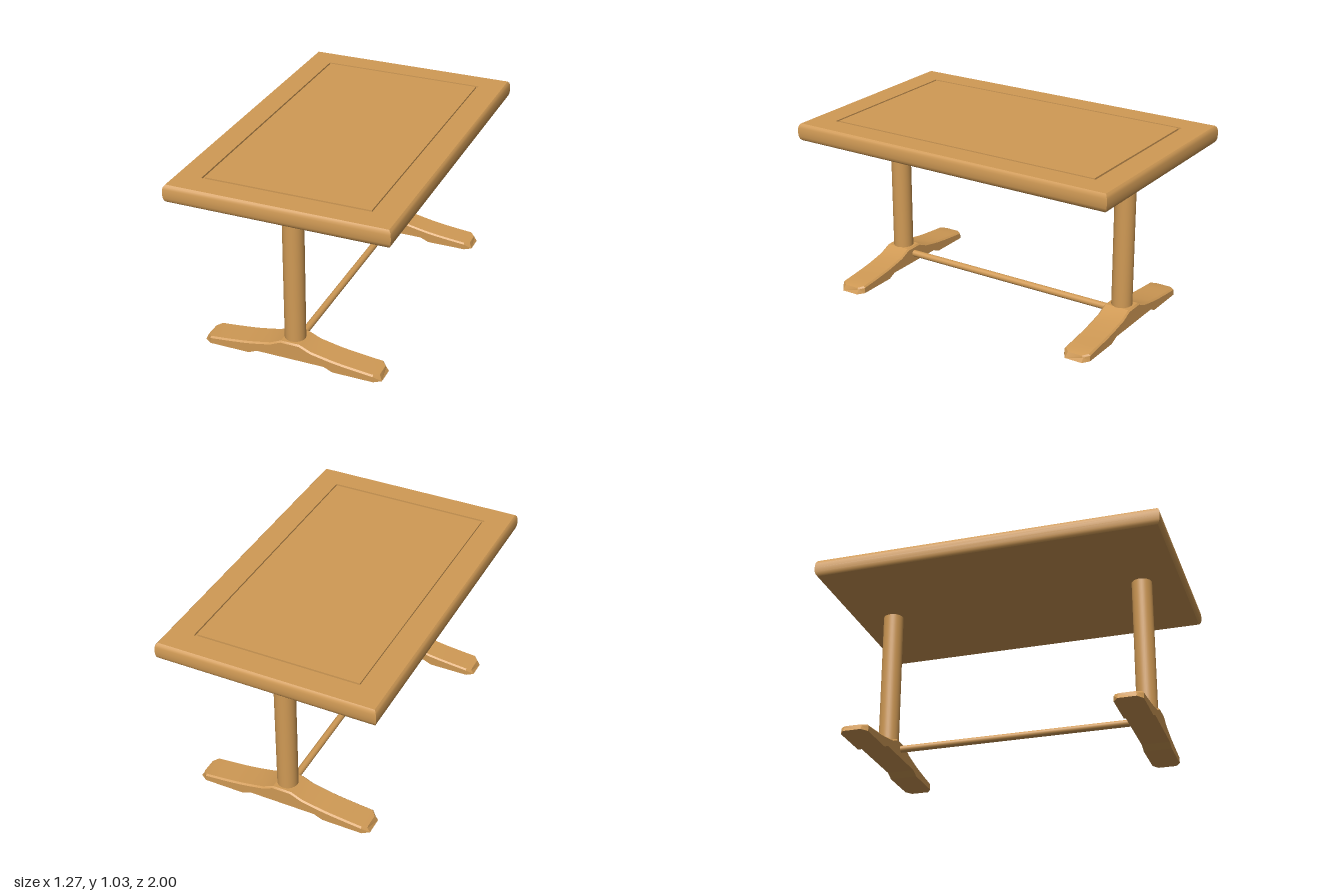
import * as THREE from 'three';
import { toCreasedNormals } from 'three/addons/utils/BufferGeometryUtils.js';

// Skins a row of equal-length convex loops and caps both ends
function loft(loops, crease) {
  const n = loops[0].length;
  const index = [];
  for (let i = 0; i < loops.length - 1; i++) {
    for (let j = 0; j < n; j++) {
      const a = i * n + j, b = i * n + (j + 1) % n;
      index.push(a, b, b + n, a, b + n, a + n);
    }
  }
  const last = (loops.length - 1) * n;
  for (let j = 1; j < n - 1; j++) {
    index.push(0, j + 1, j);
    index.push(last, last + j, last + j + 1);
  }
  const geo = new THREE.BufferGeometry();
  geo.setAttribute('position', new THREE.Float32BufferAttribute(loops.flat(2), 3));
  geo.setIndex(index);
  return toCreasedNormals(geo, crease);
}

// Rectangular loop of the tabletop, drawn in from its outer edge
function topLoop([inset, y]) {
  const x = 0.635 - inset, z = 1 - inset;
  return [[x, y, z], [x, y, -z], [-x, y, -z], [-x, y, z]];
}

// Foot cross-section with bevelled upper edges
function footLoop([xBottom, xTop, bottom, top, w]) {
  const c = 0.009;
  return [
    [xBottom, bottom, w], [xBottom, bottom, -w], [xTop, top - c, -w],
    [xTop, top, -w + c], [xTop, top, w - c], [xTop, top - c, w],
  ];
}

export function createModel() {
  const group = new THREE.Group();
  const wood = new THREE.MeshStandardMaterial({ color: 0xd09a55 });
  wood.name = 'warm wood';

  function add(name, geo, x = 0, y = 0, z = 0) {
    const mesh = new THREE.Mesh(geo, wood);
    mesh.name = name;
    mesh.position.set(x, y, z);
    group.add(mesh);
    return mesh;
  }

  // Tabletop: rounded rim, flat border, inlaid groove, centre panel
  const topProfile = [
    [0.015, 0.935], [0.006, 0.945], [0.002, 0.96], [0, 0.985],
    [0.002, 1.01], [0.006, 1.025], [0.015, 1.035],
    [0.152, 1.035], [0.152, 1.025], [0.166, 1.025], [0.166, 1.035],
  ];
  add('tabletop', loft(topProfile.map(topLoop), 0.7));

  // Foot stations from tip to centre: x at bottom, x at top, bottom, top, half width
  const half = [
    [0.528, 0.512, 0, 0.034, 0.052],
    [0.488, 0.485, 0, 0.042, 0.08],
    [0.4, 0.4, 0, 0.05, 0.08],
    [0.3, 0.3, 0, 0.061, 0.08],
    [0.25, 0.25, 0, 0.068, 0.08],
    [0.2, 0.2, 0.022, 0.077, 0.08],
    [0.12, 0.12, 0.022, 0.093, 0.08],
    [0.055, 0.055, 0.022, 0.122, 0.08],
  ];
  const mirrored = half.map(([a, b, ...rest]) => [-a, -b, ...rest]);
  const footGeo = loft([...mirrored, ...half.slice().reverse()].map(footLoop), 0.35);
  const postGeo = new THREE.CylinderGeometry(0.059, 0.059, 0.825, 40);

  // Trestle ends
  for (const [side, z] of [['front', 0.764], ['back', -0.764]]) {
    add(side + 'Foot', footGeo, 0, 0, z);
    add(side + 'Post', postGeo, 0, 0.5235, z);
  }

  // Stretcher rod between the feet
  const rod = add('stretcher', new THREE.CylinderGeometry(0.02, 0.02, 1.4, 24), 0, 0.077, 0);
  rod.rotation.x = Math.PI / 2;

  return group;
}
